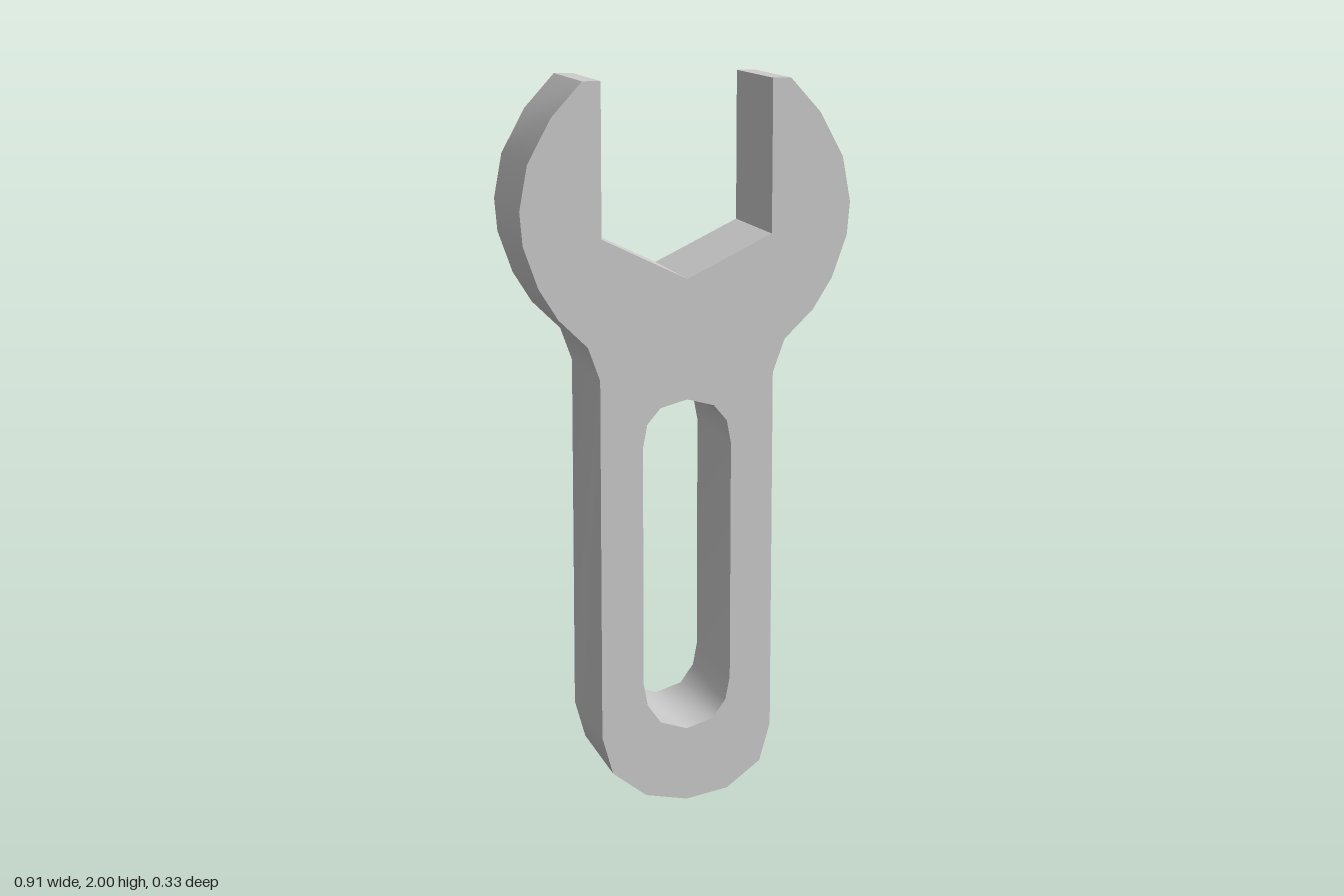
import * as THREE from 'three';
import { toCreasedNormals } from 'three/addons/utils/BufferGeometryUtils.js';

const DEPTH = 0.333;

// Closes a right-hand half outline with its mirror image across x = 0.
function mirrored(half) {
  const left = half.filter(([x]) => x > 0).reverse().map(([x, y]) => [-x, y]);
  return [...half, ...left].map(([x, y]) => new THREE.Vector2(x, y));
}

export function createModel() {
  const group = new THREE.Group();
  group.name = 'wrench';

  // Rounded handle end, straight handle, flared head and open V-bottomed jaw
  const outline = mirrored([
    [0, 0], [0.117, 0.022], [0.212, 0.094], [0.242, 0.2],
    [0.242, 1.204], [0.275, 1.295], [0.355, 1.373], [0.408, 1.458],
    [0.449, 1.573], [0.457, 1.664], [0.435, 1.786], [0.37, 1.907],
    [0.286, 2], [0.236, 2], [0.236, 1.584], [0, 1.47],
  ]);

  // Long rounded slot through the handle
  const slot = mirrored([
    [0, 0.207], [0.075, 0.231], [0.112, 0.283], [0.124, 0.347],
    [0.124, 1.013], [0.112, 1.077], [0.075, 1.121], [0, 1.141],
  ]);

  const shape = new THREE.Shape(outline);
  shape.holes.push(new THREE.Path(slot));

  const geometry = new THREE.ExtrudeGeometry(shape, { depth: DEPTH, bevelEnabled: false });
  geometry.translate(0, 0, -DEPTH / 2);

  // Smooth rounded sides, sharp jaw corners and face edges
  const body = new THREE.Mesh(
    toCreasedNormals(geometry, 0.77),
    new THREE.MeshStandardMaterial({ color: 0xcccccc })
  );
  body.name = 'wrenchBody';
  group.add(body);
  return group;
}
